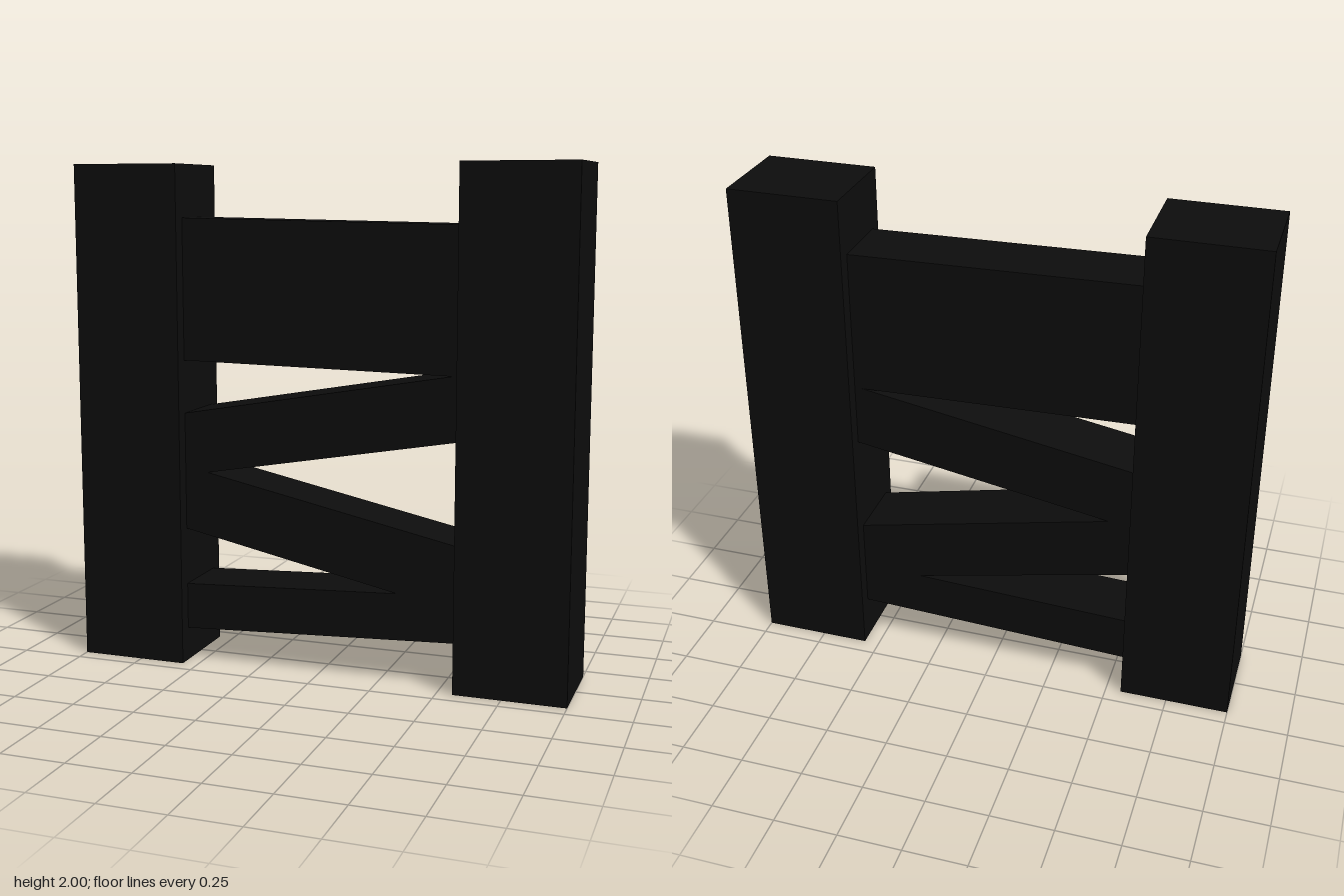
import * as THREE from 'three';

export function createModel() {
  const model = new THREE.Group();
  const black = new THREE.MeshStandardMaterial({ color: 0x0d0d0d });
  black.name = 'near black';

  const addBeam = (name, width, height, depth, x, y, tilt = 0) => {
    const mesh = new THREE.Mesh(new THREE.BoxGeometry(width, height, depth), black);
    mesh.name = name;
    mesh.position.set(x, y, 0);
    mesh.rotation.z = tilt;
    model.add(mesh);
  };

  // Upright posts
  addBeam('leftPost', 0.438, 2, 0.374, 0.781, 1);
  addBeam('rightPost', 0.438, 2, 0.374, -0.781, 1);

  // Crooked planks: centre height, vertical thickness, slope; ends sit inside the posts
  const planks = [
    ['topPlank', 1.502, 0.56, -0.018],
    ['upperBrace', 0.993, 0.252, 0.175],
    ['lowerBrace', 0.557, 0.256, -0.215],
    ['bottomPlank', 0.252, 0.186, 0.045],
  ];
  for (const [name, y, thickness, slope] of planks) {
    const tilt = Math.atan(slope);
    addBeam(name, 1.34, thickness * Math.cos(tilt), 0.26, 0, y, tilt);
  }
  return model;
}
